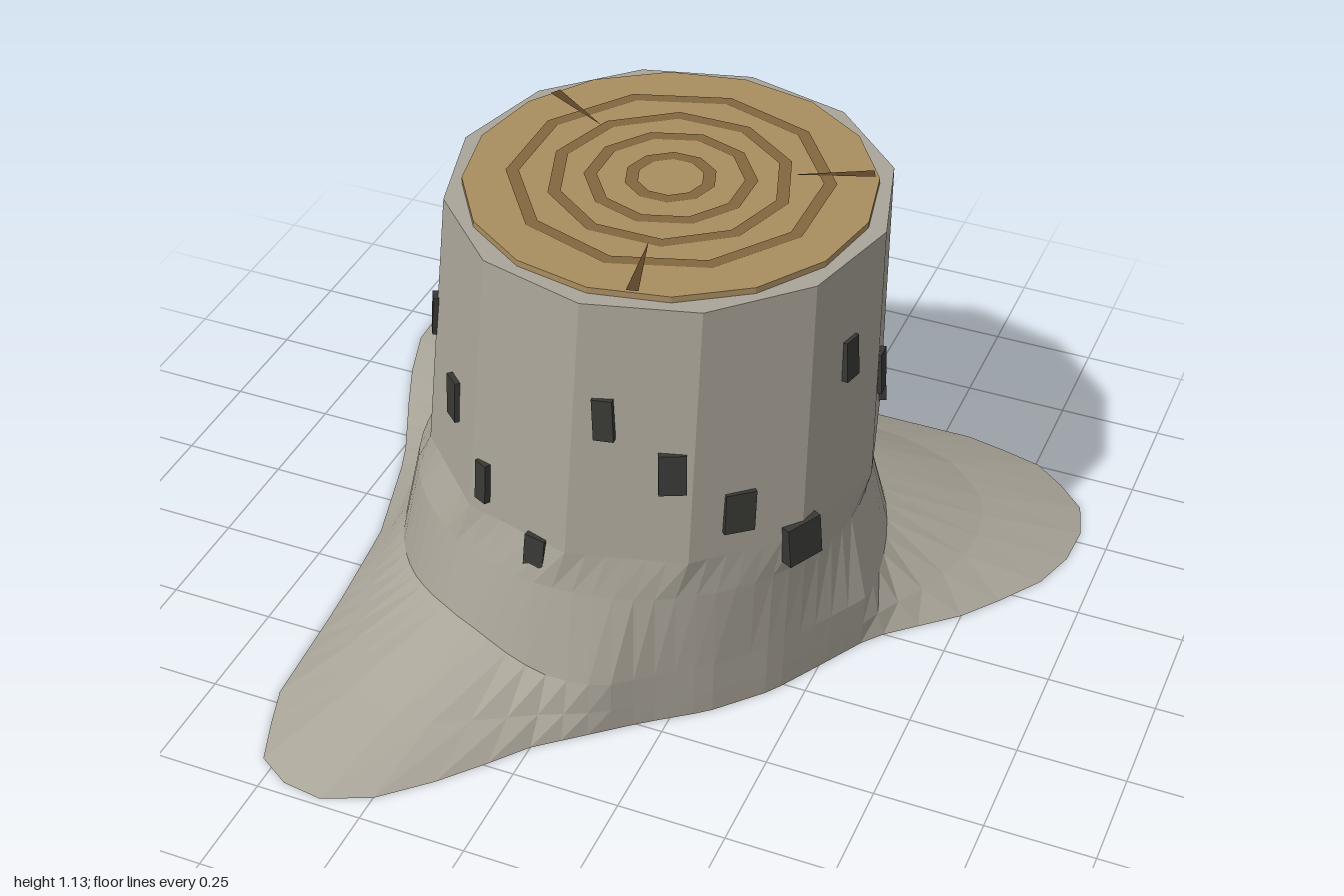
import * as THREE from 'three';

const SEG = 72, TAU = Math.PI * 2;
const mat = (color, extra = {}) => new THREE.MeshStandardMaterial({ color, flatShading: true, roughness: 0.9, ...extra });

// Ground outline of the roots as x, z pairs
const OUTLINE = [
  [0.58, 0.02], [0.5, 0.16], [0.43, 0.28], [0.32, 0.4], [0.2, 0.49], [0.0, 0.66], [-0.12, 0.81],
  [-0.24, 0.93], [-0.4, 1.0], [-0.53, 0.92], [-0.6, 0.73], [-0.62, 0.4], [-0.65, 0.12],
  [-0.73, -0.17], [-0.87, -0.48], [-0.94, -0.7], [-0.91, -0.9], [-0.77, -1.0], [-0.59, -0.99],
  [-0.31, -0.92], [-0.02, -0.9], [0.24, -0.8], [0.58, -0.8], [0.78, -0.75], [0.93, -0.6],
  [0.92, -0.37], [0.77, -0.15],
];

// Distance from the middle to the outline along angle a
function outlineRadius(a) {
  const dx = Math.cos(a), dz = Math.sin(a);
  let best = 0;
  OUTLINE.forEach(([x, z], i) => {
    const [x2, z2] = OUTLINE[(i + 1) % OUTLINE.length];
    const ex = x2 - x, ez = z2 - z, det = dx * ez - dz * ex;
    if (Math.abs(det) < 1e-9) return;
    const t = (x * ez - z * ex) / det, u = (x * dz - z * dx) / det;
    if (t > 0 && u >= -1e-6 && u <= 1 + 1e-6) best = Math.max(best, t);
  });
  return best;
}

// Twelve-sided trunk, leaning slightly and narrowing upwards
function trunkPoint(a, y, out = 0) {
  const t = (y - 0.47) / 0.64, step = TAU / 12;
  const m = (((a % step) + step) % step) - step / 2;
  const r = (0.52 - 0.03 * t) * Math.cos(step / 2) / Math.cos(m) + out;
  return [0.03 + 0.03 * t + Math.cos(a) * r, y, Math.sin(a) * r];
}

// Skin over closed rings listed from bottom to top, with optional end caps
function loft(rings, capBottom, capTop) {
  const pos = [], n = rings[0].length;
  const tri = (...p) => p.forEach((v) => pos.push(...v));
  const top = rings[rings.length - 1];
  for (let i = 0; i < n; i++) {
    const j = (i + 1) % n;
    for (let k = 0; k + 1 < rings.length; k++) {
      const lo = rings[k], up = rings[k + 1];
      tri(lo[i], up[i], lo[j]);
      tri(lo[j], up[i], up[j]);
    }
    if (capBottom) tri([0, rings[0][0][1], 0], rings[0][i], rings[0][j]);
    if (capTop) tri([0.06, top[0][1], 0], top[j], top[i]);
  }
  const g = new THREE.BufferGeometry();
  g.setAttribute('position', new THREE.Float32BufferAttribute(pos, 3));
  g.computeVertexNormals();
  return g;
}

const ring = (n, f) => Array.from({ length: n }, (_, i) => f((i / n) * TAU));

export function createModel() {
  const model = new THREE.Group();
  const add = (name, geometry, material, parent = model) => {
    const mesh = new THREE.Mesh(geometry, material);
    mesh.name = name;
    parent.add(mesh);
    return mesh;
  };
  const bark = mat(0xaaa599), wood = mat(0xa98d5f), dark = mat(0x383835);
  const grain = mat(0x84683f, { side: THREE.DoubleSide });
  const split = mat(0x5c4629, { side: THREE.DoubleSide });

  // Spreading roots and the collar that gathers into the trunk
  const polar = (a, r, y) => [Math.cos(a) * r, y, Math.sin(a) * r];
  const collarR = (a) => Math.min(0.57, outlineRadius(a) + 0.005);
  const collarY = (a) => 0.14 + 0.05 * THREE.MathUtils.clamp((outlineRadius(a) - 0.65) / 0.4, 0, 1);
  const skirt = (t, h) => ring(SEG, (a) => polar(a, THREE.MathUtils.lerp(outlineRadius(a), collarR(a), t), collarY(a) * h));
  add('roots', loft([
    skirt(0, 0), skirt(0.5, 0.43), skirt(1, 1),
    ring(SEG, (a) => polar(a, Math.min(0.525, outlineRadius(a) + 0.02), 0.36)),
    ring(SEG, (a) => trunkPoint(a, 0.465)),
  ], true, false), bark);

  // Trunk
  add('trunk', loft([0.465, 1.11].map((y) => ring(12, (a) => trunkPoint(a, y))), false, true), bark);

  // Cut face with growth rings and splits
  const cut = new THREE.Group();
  cut.name = 'cutFace';
  cut.position.set(0.06, 1.117, 0);
  model.add(cut);
  add('cutWood', new THREE.CylinderGeometry(0.45, 0.45, 0.015, 16), wood, cut);
  [0.085, 0.17, 0.25, 0.335].forEach((r, k) => {
    const g = new THREE.RingGeometry(r - 0.014, r + 0.014, k ? 20 : 10).rotateX(-Math.PI / 2);
    const p = g.attributes.position;
    for (let i = 0; i < p.count; i++) {
      const s = 1 + 0.025 * Math.cos(10 * Math.atan2(p.getZ(i), p.getX(i)) + k * Math.PI);
      p.setX(i, p.getX(i) * s);
      p.setZ(i, p.getZ(i) * s);
    }
    add('growthRing', g, grain, cut).position.y = 0.0095;
  });
  [-0.42, 1.36, 3.69].forEach((a) => {
    const s = new THREE.Shape([[0.26, 0], [0.44, -0.013], [0.44, 0.013]].map(([x, y]) => new THREE.Vector2(x, y)));
    const crack = add('split', new THREE.ShapeGeometry(s).rotateX(-Math.PI / 2), split, cut);
    crack.position.y = 0.0115;
    crack.rotation.y = -a;
  });

  // Dark bark chips winding down around the trunk
  const widths = [0.045, 0.045, 0.03, 0.03, 0.02, 0.04, 0.06, 0.05, 0.03, 0.02, 0.06, 0.07, 0.035, 0.03, 0.02, 0.03, 0.09, 0.05];
  widths.forEach((w, i) => {
    const a = THREE.MathUtils.degToRad(14 + 68.5 * i);
    const chip = add('barkChip', new THREE.BoxGeometry(0.03, 0.1, w), dark);
    chip.position.set(...trunkPoint(a, 0.855 - 0.0253 * i, -0.003));
    chip.rotation.set(0.06 * Math.sin(i * 2.1), -a, 0.06, 'YXZ');
  });

  return model;
}
